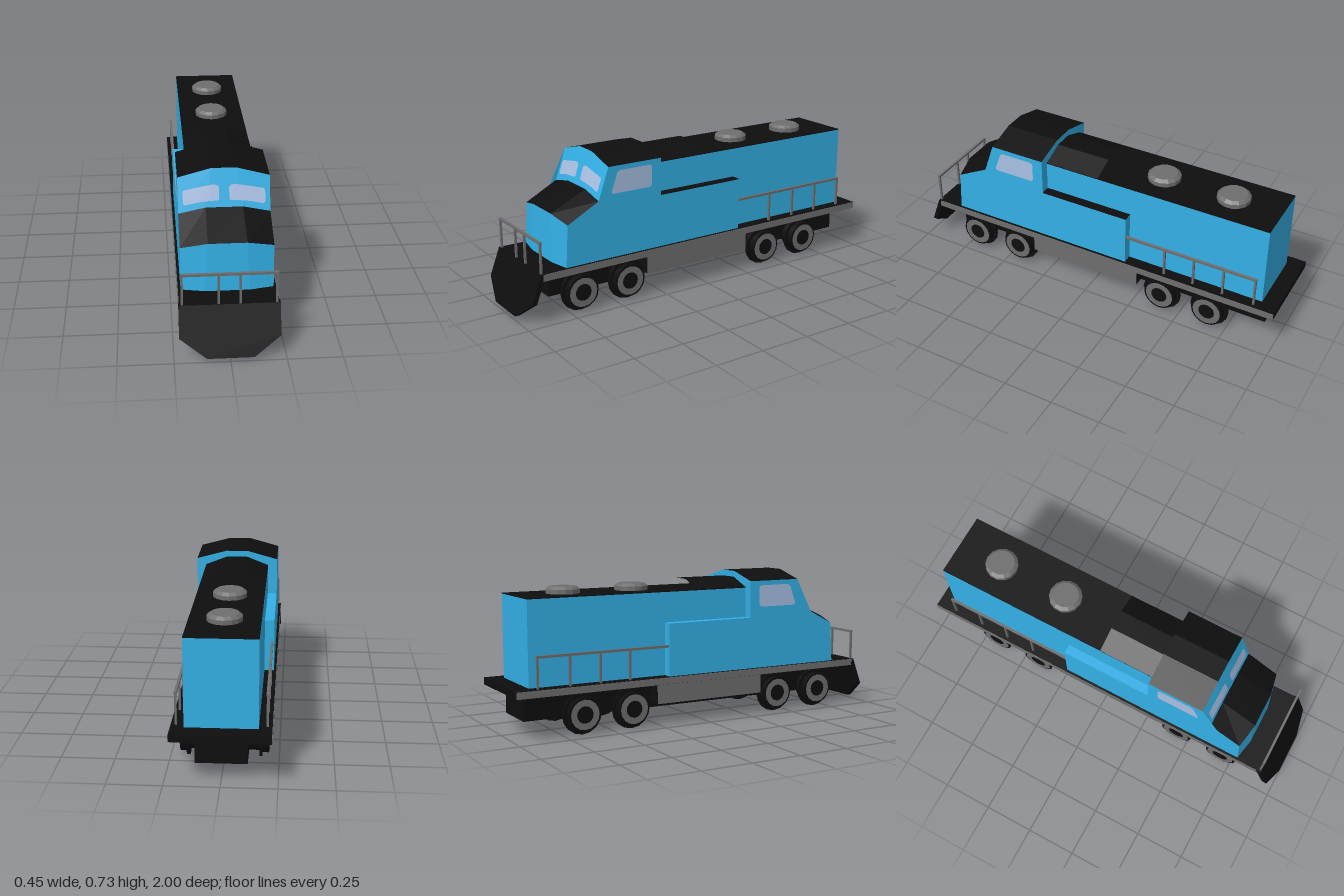
import * as THREE from 'three';

const material = (name, color) => {
  const m = new THREE.MeshStandardMaterial({ color });
  m.name = name;
  return m;
};

export function createModel() {
  const blue = material('blue paint', 0x33b0e6);
  const black = material('black', 0x0e0e0e);
  const grey = material('grey metal', 0x6e6e6e);
  const glass = material('window glass', 0xa8c0e4);
  const model = new THREE.Group();
  model.name = 'locomotive';

  const add = (name, geometry, mat, parent = model) => {
    const mesh = new THREE.Mesh(geometry, mat);
    mesh.name = name;
    parent.add(mesh);
    return mesh;
  };
  // Box given by its minimum and maximum corners
  const box = (name, mat, [x0, y0, z0], [x1, y1, z1]) => {
    const g = new THREE.BoxGeometry(x1 - x0, y1 - y0, z1 - z0);
    g.translate((x0 + x1) / 2, (y0 + y1) / 2, (z0 + z1) / 2);
    return add(name, g, mat);
  };
  // Flat-shaded polygons, each cut into a fan from its first corner
  const faces = (name, mat, polygons) => {
    const pos = [];
    for (const p of polygons)
      for (let i = 1; i < p.length - 1; i++) pos.push(...p[0], ...p[i], ...p[i + 1]);
    const g = new THREE.BufferGeometry();
    g.setAttribute('position', new THREE.Float32BufferAttribute(pos, 3));
    g.computeVertexNormals();
    return add(name, g, mat);
  };
  const mirror = (p) => p.map(([x, y, z]) => [-x, y, z]).reverse();
  // Symmetrical cross row from an outer and an inner point
  const row = (o, i) => [[-o[0], o[1], o[2]], [-i[0], i[1], i[2]], i, o];
  const strip = (lo, up) =>
    lo.slice(1).map((p, j) => [lo[j], p, up[j + 1], up[j]]);

  // Platform with grey side sills
  box('platform', black, [-0.222, 0.208, -1], [0.222, 0.243, 0.91]);
  for (const s of [-1, 1]) {
    const x = s * 0.222;
    box('sideSill', grey, [Math.min(x, x + s * 0.003), 0.209, -1], [Math.max(x, x + s * 0.003), 0.242, 0.905]);
  }

  // Underframe and tank
  box('underframe', black, [-0.116, 0.08, -0.93], [0.116, 0.208, 0.83]);
  box('tank', black, [-0.198, 0.11, -0.27], [0.198, 0.208, 0.33]);
  for (const s of [-1, 1])
    box('tankPanel', grey, [s * 0.1995 - 0.0015, 0.11, -0.27], [s * 0.1995 + 0.0015, 0.208, 0.33]);

  // Wheels: hub drum, flange, tread, grey ring and black centre
  for (const z of [0.69, 0.433, -0.4, -0.658]) {
    for (const s of [-1, 1]) {
      const wheel = new THREE.Group();
      wheel.name = 'wheel';
      wheel.position.set(0, 0.1, z);
      wheel.rotation.y = s > 0 ? Math.PI / 2 : -Math.PI / 2;
      model.add(wheel);
      const disc = (name, r, a, b) => {
        const g = new THREE.CylinderGeometry(r, r, b - a, 16);
        g.rotateX(Math.PI / 2).translate(0, 0, (a + b) / 2);
        add(name, g, black, wheel);
      };
      disc('drum', 0.072, 0.11, 0.16);
      disc('flange', 0.1, 0.16, 0.172);
      disc('tread', 0.082, 0.172, 0.203);
      const ring = new THREE.RingGeometry(0.042, 0.073, 16);
      add('wheelRing', ring.translate(0, 0, 0.205), grey, wheel);
    }
  }

  // Rear hood with black roof
  box('hood', blue, [-0.163, 0.243, -0.92], [0.163, 0.652, 0.257]);
  box('hoodRoof', black, [-0.163, 0.652, -0.92], [0.163, 0.656, 0.257]);
  const raised = [0.257, -0.03].map((z) => row([0.163, 0.656, z], [0.05, 0.7, z]));
  faces('raisedRoof', black, strip(raised[0], raised[1]));
  faces('raisedRoofEnd', blue, [[...raised[1]].reverse()]);

  // Side boxes, with a black cover on the left one
  for (const s of [-1, 1])
    box('sideBox', blue, [s > 0 ? 0.163 : -0.21, 0.243, -0.21], [s > 0 ? 0.21 : -0.163, 0.503, 0.257]);
  box('sideBoxCover', black, [0.163, 0.503, -0.21], [0.21, 0.506, 0.257]);

  // Cab and nose from cross rows
  const W = 0.21, back = 0.257;
  const roofRear = row([W, 0.688, back], [0.057, 0.73, back]);
  const roofFront = row([W, 0.688, 0.545], [0.057, 0.73, 0.545]);
  const sill = row([W, 0.533, 0.6], [0.085, 0.56, 0.6]);
  const noseTop = row([W, 0.447, 0.765], [0.088, 0.475, 0.787]);
  const noseBase = row([W, 0.243, 0.778], [0.1, 0.243, 0.8]);
  const side = [[W, 0.243, back], roofRear[3], roofFront[3], sill[3], noseTop[3], noseBase[3]];
  // corner order faces outwards on the left
  const sideOut = [side[0], ...side.slice(1)];
  faces('cabSides', blue, [sideOut, mirror(sideOut)]);
  faces('cabBack', blue, [[[W, 0.243, back], [-W, 0.243, back], ...roofRear]]);
  faces('windshieldFrame', blue, strip(sill, roofFront));
  faces('noseFront', blue, strip(noseBase, noseTop));
  faces('noseTop', black, strip(noseTop, sill));
  faces('cabRoof', black, strip(roofFront, roofRear));

  // Front windows follow the folded windshield; columns are x, bottom, top
  const onShield = (x, y) => {
    const k = Math.max(0, x - 0.057), top = 0.73 - 0.275 * k;
    const bottom = 0.56 - 0.216 * Math.max(0, x - 0.085);
    return [x, y, 0.549 + 0.055 * (top - y) / (top - bottom)];
  };
  const columns = [[0.023, 0.598, 0.648], [0.03, 0.591, 0.658], [0.05, 0.59, 0.661],
    [0.072, 0.589, 0.657], [0.12, 0.583, 0.648], [0.178, 0.57, 0.636], [0.187, 0.576, 0.629]];
  const panes = strip(columns.map(([x, b]) => onShield(x, b)), columns.map(([x, , t]) => onShield(x, t)));
  faces('frontWindows', glass, [...panes, ...panes.map(mirror)]);

  // Side windows
  const x = W + 0.003;
  const pane = [[0.524, 0.556], [0.32, 0.556], [0.31, 0.566], [0.31, 0.655], [0.32, 0.665],
    [0.485, 0.665], [0.5, 0.655], [0.532, 0.566]].map(([z, y]) => [x, y, z]);
  faces('sideWindows', glass, [pane, mirror(pane)]);

  // Roof hatches
  for (const z of [-0.312, -0.675]) {
    const profile = [[0.082, 0], [0.082, 0.022], [0.066, 0.035], [0, 0.035]].map(([r, y]) => new THREE.Vector2(r, y));
    const g = new THREE.LatheGeometry(profile, 14).toNonIndexed();
    g.computeVertexNormals();
    add('roofHatch', g, grey).position.set(0, 0.655, z);
  }

  // Handrails
  const post = (name, px, pz) => box(name, grey, [px - 0.005, 0.243, pz - 0.005], [px + 0.005, 0.39, pz + 0.005]);
  for (const s of [-1, 1]) {
    const rx = s * 0.2;
    box('sideRail', grey, [rx - 0.006, 0.385, -0.896], [rx + 0.006, 0.397, -0.21]);
    for (const z of [-0.42, -0.575, -0.73, -0.89]) post('sideRailPost', rx, z);
    post('frontRailPost', s * 0.209, 0.907);
    post('frontRailPost', s * 0.048, 0.907);
  }
  box('frontRail', grey, [-0.215, 0.385, 0.901], [0.215, 0.396, 0.913]);

  // Plough: angled plate sheared forward towards its bottom edge
  const outline = [[-0.225, 0.243], [-0.225, 0.105], [-0.105, 0.018], [0.105, 0.018], [0.225, 0.105], [0.225, 0.243]];
  const plough = new THREE.ExtrudeGeometry(
    new THREE.Shape(outline.map(([a, b]) => new THREE.Vector2(a, b))), { depth: 0.025, bevelEnabled: false });
  const p = plough.attributes.position;
  for (let i = 0; i < p.count; i++)
    p.setZ(i, p.getZ(i) + 0.89 + 0.085 * (0.243 - p.getY(i)) / 0.225);
  plough.computeVertexNormals();
  add('plough', plough, black);
  return model;
}
